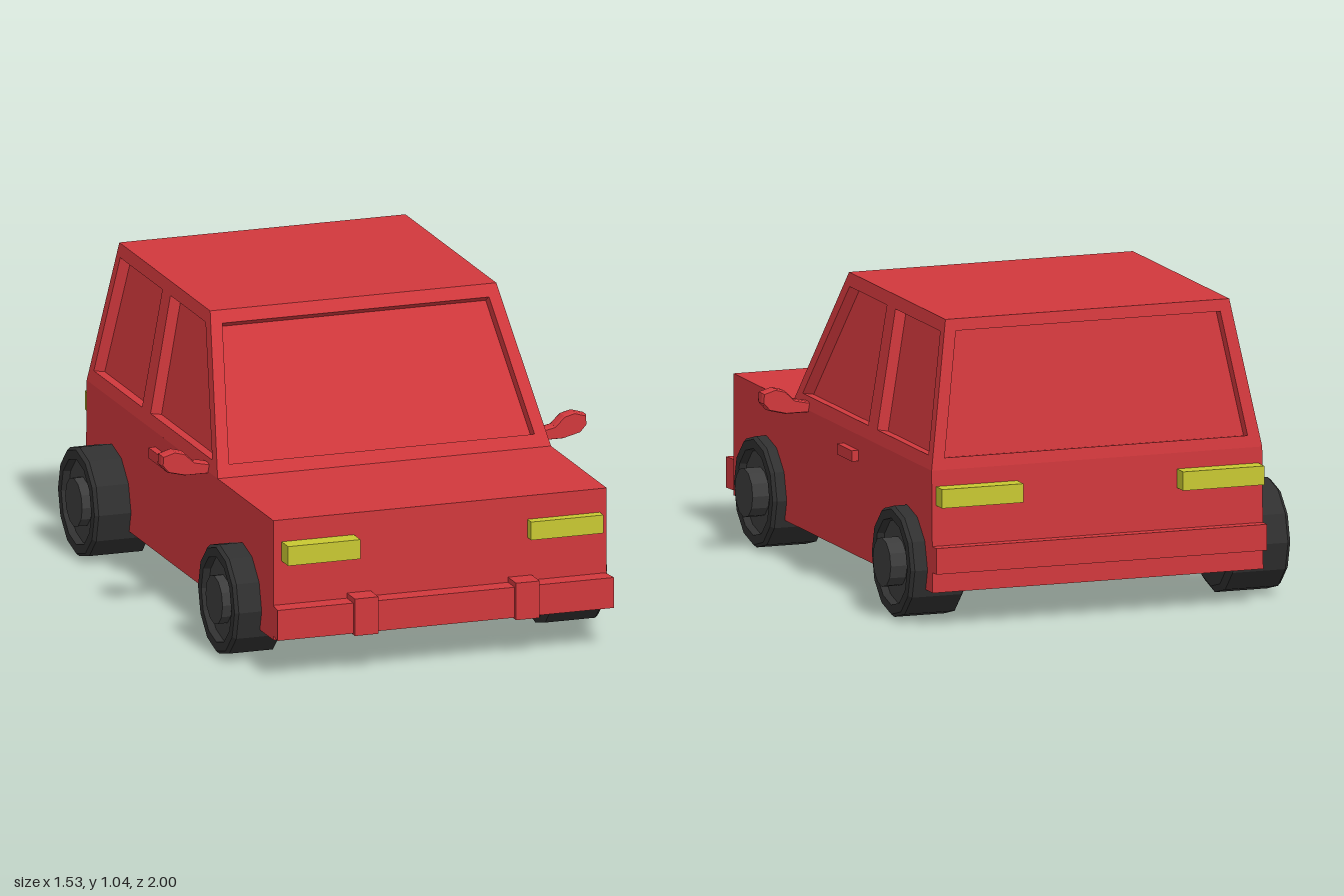
import * as THREE from 'three';

const paint = (color) => new THREE.MeshStandardMaterial({ color, flatShading: true });
const RECESS = 0.04;

// Flat wall with sunken windows. map(a, b) places 2D points (a right, b up, seen from outside).
function wallGeometry(outline, windows, map) {
  const toV2 = (pts) => pts.map(([a, b]) => new THREE.Vector2(a, b));
  const o = map(0, 0);
  const inward = map(1, 0).sub(o).cross(map(0, 1).sub(o)).normalize().multiplyScalar(-RECESS);
  const pos = [];
  const put = (...vs) => vs.forEach((v) => pos.push(v.x, v.y, v.z));
  const fill = (shape, offset) => {
    const flat = new THREE.ShapeGeometry(shape).toNonIndexed().attributes.position;
    for (let i = 0; i < flat.count; i++) put(map(flat.getX(i), flat.getY(i)).add(offset));
  };
  const shape = new THREE.Shape(toV2(outline));
  windows.forEach((w) => {
    const pts = toV2(w);
    if (THREE.ShapeUtils.isClockWise(pts)) pts.reverse();
    shape.holes.push(new THREE.Path(pts));
    fill(new THREE.Shape(pts), inward);
    // reveal around the window
    pts.forEach((p, i) => {
      const q = pts[(i + 1) % pts.length];
      const A = map(p.x, p.y), B = map(q.x, q.y);
      const C = B.clone().add(inward), D = A.clone().add(inward);
      put(A, B, C, A, C, D);
    });
  });
  fill(shape, new THREE.Vector3());
  const g = new THREE.BufferGeometry();
  g.setAttribute('position', new THREE.Float32BufferAttribute(pos, 3));
  g.computeVertexNormals();
  return g;
}

export function createModel() {
  const car = new THREE.Group();
  car.name = 'car';
  const red = paint(0xd0383c), yellow = paint(0xc8c832), rubber = paint(0x303030);
  const rim = paint(0x3c3c3c);

  const add = (name, geometry, material, parent = car) => {
    const m = new THREE.Mesh(geometry, material);
    m.name = name;
    parent.add(m);
    return m;
  };
  // box given by its min and max on each axis
  const box = (name, material, [x0, x1], [y0, y1], [z0, z1]) => {
    const m = add(name, new THREE.BoxGeometry(x1 - x0, y1 - y0, z1 - z0), material);
    m.position.set((x0 + x1) / 2, (y0 + y1) / 2, (z0 + z1) / 2);
    return m;
  };

  // lower body, its tail leaning very slightly
  const lower = box('lowerBody', red, [-0.6, 0.6], [0.13, 0.55], [-0.95, 0.92]);
  const lp = lower.geometry.attributes.position;
  for (let i = 0; i < lp.count; i++) {
    if (lp.getY(i) > 0 && lp.getZ(i) < 0) lp.setZ(i, lp.getZ(i) + 0.01);
  }

  // cabin: four leaning walls with sunken windows, and a roof
  const cabin = new THREE.Group();
  cabin.name = 'cabin';
  car.add(cabin);
  const rise = (y) => (y - 0.55) / 0.5;
  const sideX = (y) => 0.6 - 0.085 * rise(y);
  const frontZ = (y) => 0.365 - 0.31 * rise(y);
  const backZ = (y) => -0.94 + 0.09 * rise(y);
  const endOutline = [[-0.6, 0.55], [0.6, 0.55], [0.515, 1.05], [-0.515, 1.05]];
  const endWindow = [[-0.55, 0.59], [0.55, 0.59], [0.48, 1.01], [-0.48, 1.01]];
  add('windscreenWall', wallGeometry(endOutline, [endWindow],
    (a, b) => new THREE.Vector3(a, b, frontZ(b))), red, cabin);
  add('rearWall', wallGeometry(endOutline, [endWindow],
    (a, b) => new THREE.Vector3(-a, b, backZ(b))), red, cabin);
  const sideOutline = [[0.365, 0.55], [0.055, 1.05], [-0.85, 1.05], [-0.94, 0.55]];
  const sideWindows = [
    [[0.29, 0.595], [0.03, 1.005], [-0.32, 1.005], [-0.325, 0.595]],
    [[-0.41, 0.595], [-0.4, 1.005], [-0.82, 1.005], [-0.89, 0.595]],
  ];
  for (const s of [1, -1]) {
    const turn = (pts) => pts.map(([z, y]) => [-s * z, y]);
    add(s > 0 ? 'leftWall' : 'rightWall', wallGeometry(turn(sideOutline), sideWindows.map(turn),
      (a, b) => new THREE.Vector3(s * sideX(b), b, -s * a)), red, cabin);
  }
  add('roof', wallGeometry([[-0.515, -0.055], [0.515, -0.055], [0.515, 0.85], [-0.515, 0.85]], [],
    (a, b) => new THREE.Vector3(a, 1.05, -b)), red, cabin);

  // bumpers, the front one flaring forward
  const front = box('frontBumper', red, [-0.608, 0.603], [0.145, 0.252], [0.9, 0.985]);
  const fp = front.geometry.attributes.position;
  for (let i = 0; i < fp.count; i++) if (fp.getZ(i) < 0) fp.setX(i, fp.getX(i) * 0.985);
  box('bumperGuard', red, [-0.335, -0.25], [0.14, 0.27], [0.9, 1]);
  box('bumperGuard', red, [0.245, 0.33], [0.14, 0.27], [0.9, 1]);
  box('rearBumper', red, [-0.6, 0.6], [0.2, 0.29], [-0.985, -0.93]);

  // lights
  box('headlight', yellow, [0.315, 0.575], [0.403, 0.467], [0.9, 0.957]);
  box('headlight', yellow, [-0.57, -0.31], [0.405, 0.473], [0.9, 0.985]);
  box('tailLight', yellow, [0.29, 0.585], [0.43, 0.495], [-1, -0.93]);
  box('tailLight', yellow, [-0.585, -0.29], [0.43, 0.495], [-1, -0.93]);

  // wing mirrors and door handles
  const mirrorOutline = [[0.58, 0.545], [0.68, 0.545], [0.74, 0.56], [0.762, 0.585], [0.76, 0.615],
    [0.72, 0.627], [0.685, 0.618], [0.65, 0.585], [0.58, 0.57]];
  for (const s of [1, -1]) {
    const shape = new THREE.Shape(mirrorOutline.map(([x, y]) => new THREE.Vector2(s * x, y)));
    add('wingMirror', new THREE.ExtrudeGeometry(shape, {
      depth: 0.03, bevelSize: 0.004, bevelThickness: 0.012, bevelSegments: 1,
    }), red).position.z = 0.228;
    const x = [0.59, 0.625];
    box('doorHandle', red, s > 0 ? x : [-0.625, -0.59], [0.46, 0.497], [-0.255, -0.115]);
  }

  // wheels: twelve-sided tyre with a sunken rim and a hub
  const wheel = (name, side, z, inner, outer, hub) => {
    const g = new THREE.Group();
    g.name = name;
    const tyre = [[0, inner], [0.17, inner], [0.192, inner + 0.015], [0.192, outer - 0.012],
      [0.182, outer], [0.15, outer], [0.145, outer - 0.025]];
    const disc = [[0.148, outer - 0.025], [0.085, outer - 0.025], [0.085, hub], [0, hub]];
    const lathe = (pts) => new THREE.LatheGeometry(pts.map(([r, h]) => new THREE.Vector2(r, h)), 12);
    add('tyre', lathe(tyre), rubber, g);
    add('rimAndHub', lathe(disc), rim, g);
    g.rotation.z = -side * Math.PI / 2;
    g.position.set(0, 0.2, z);
    car.add(g);
  };
  wheel('frontLeftWheel', 1, 0.612, 0.44, 0.647, 0.682);
  wheel('rearLeftWheel', 1, -0.71, 0.45, 0.658, 0.692);
  wheel('frontRightWheel', -1, 0.612, 0.51, 0.694, 0.702);
  wheel('rearRightWheel', -1, -0.69, 0.51, 0.728, 0.737);

  return car;
}
